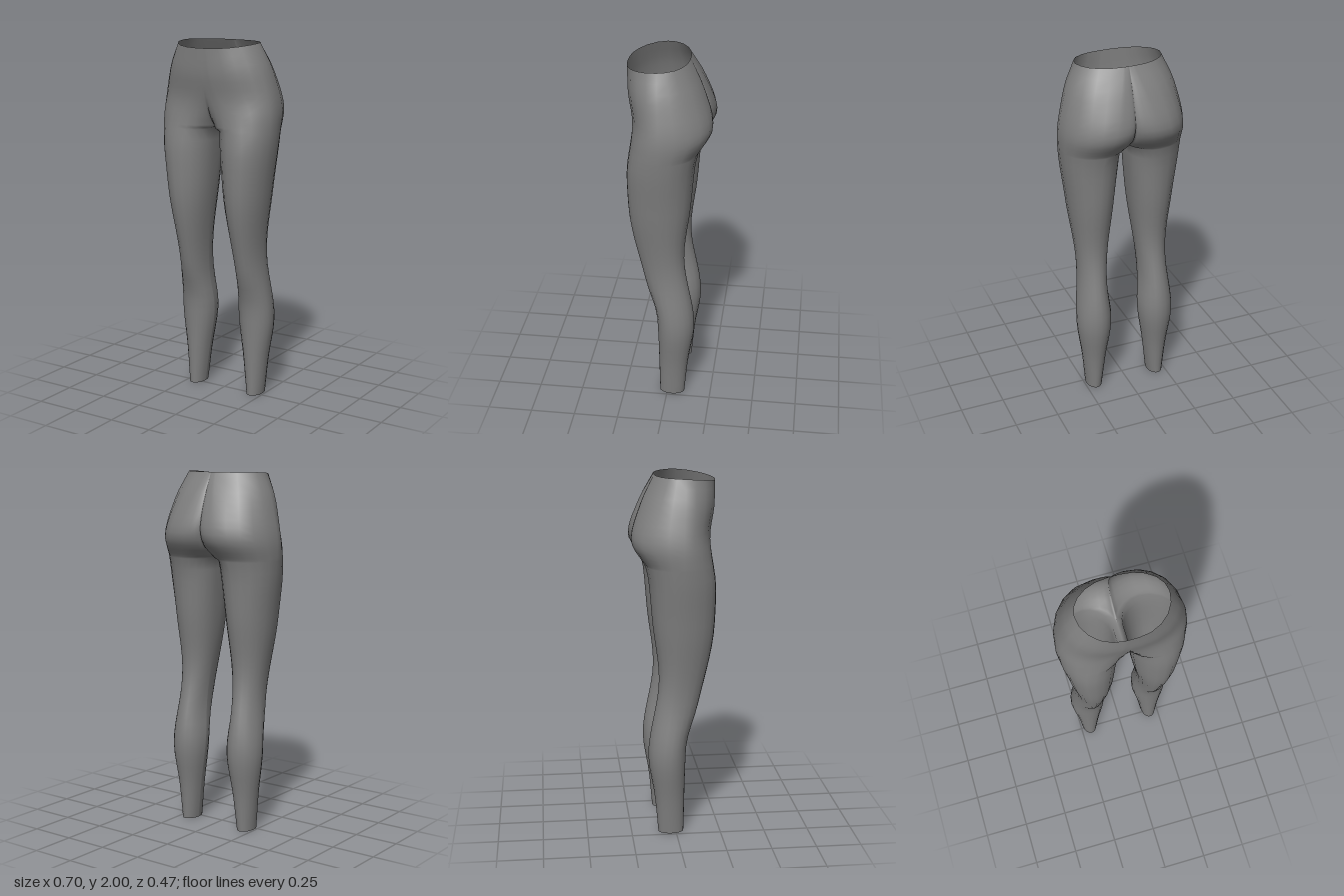
import * as THREE from 'three';
import { mergeVertices } from 'three/addons/utils/BufferGeometryUtils.js';

// Smooth curve through a few (height, value) points, listed from the top down, without overshoot
function profile(...points) {
  const steps = points.slice(1).map(([y, v], i) => (v - points[i][1]) / (y - points[i][0]));
  const slopes = points.map((_, i) => {
    const a = steps[i - 1] ?? steps[i], b = steps[i] ?? a;
    return a * b > 0 ? (2 * a * b) / (a + b) : 0;
  });
  return (y) => {
    let i = 0;
    while (i < points.length - 2 && y < points[i + 1][0]) i++;
    const [y0, v0] = points[i], [y1, v1] = points[i + 1];
    const h = y1 - y0, t = (y - y0) / h, u = 1 - t;
    return v0 * u * u * (1 + 2 * t) + v1 * t * t * (3 - 2 * t)
      + h * t * u * (slopes[i] * u - slopes[i + 1] * t);
  };
}

// Silhouettes of one half
const outerX = profile([2, 0.24], [1.85, 0.304], [1.6, 0.351], [1.2, 0.307], [0.8, 0.264], [0.46, 0.291], [0.2, 0.259], [0, 0.24]);
const frontZ = profile([2, 0.232], [1.85, 0.225], [1.66, 0.194], [1.4, 0.22], [1.2, 0.214], [0.75, 0.127], [0.5, 0.06], [0, 0.044]);
const backZ = profile([2, -0.1], [1.85, -0.178], [1.66, -0.234], [1.5, -0.153], [1.2, -0.124], [0.9, -0.091], [0.46, -0.152], [0.2, -0.116], [0, -0.098]);
const innerX = profile([1.525, 0.028], [1.2, 0.055], [0.68, 0.105], [0.48, 0.09], [0.2, 0.126], [0, 0.15]);
// Depth of the side seam, and how far out the front and back are fullest
const sideZ = profile([2, 0.05], [1.6, 0.03], [1.2, 0.039], [0.7, -0.002], [0.4, -0.038], [0, -0.028]);
const frontX = profile([2, 0.03], [1.75, 0.065], [1.6, 0.16], [1.4, 0.195], [0.9, 0.182], [0, 0.195]);
const backX = profile([2, 0.03], [1.75, 0.105], [1.4, 0.17], [0.9, 0.178], [0, 0.195]);
// Centre line of the hips, front and back, down to the crotch
const CROTCH = 1.537;
const centreFrontZ = profile([2, 0.232], [1.85, 0.225], [1.71, 0.195], [1.6, 0.135], [CROTCH, 0.06]);
const centreBackZ = profile([2, -0.1], [1.78, -0.182], [1.7, -0.196], [1.6, -0.15], [CROTCH, -0.03]);

const HIP_ROWS = 12, LEG_ROWS = 24;
const SEG = 5; // points per quarter of a cross-section
const COLS = SEG * 4 + 1;

// Row heights: hips close up towards the crotch, legs run evenly to the ankle
const HEIGHTS = [];
for (let i = 0; i <= HIP_ROWS; i++) HEIGHTS.push(CROTCH + (2 - CROTCH) * Math.pow(1 - i / HIP_ROWS, 1.4));
for (let i = 0; i <= LEG_ROWS; i++) HEIGHTS.push(1.525 * (1 - i / LEG_ROWS));

// One cross-section: quarter-ellipses for inner front, outer front, outer back, inner back
function section(y, isLeg) {
  const xf = frontX(y), zf = frontZ(y), xs = outerX(y), zs = sideZ(y), xb = backX(y), zb = backZ(y);
  const flat = Math.max(0.04, (y - 0.7) / 0.83); // inner thigh is flattened near the crotch
  const xi = isLeg ? innerX(y) : 0;
  const zif = isLeg ? zs + 0.028 * flat : centreFrontZ(y);
  const zib = isLeg ? zs - 0.052 * flat : centreBackZ(y);
  const points = [];
  for (let col = 0; col < COLS; col++) {
    const quarter = Math.min(3, Math.floor(col / SEG));
    const t = (col / SEG - quarter) * Math.PI / 2;
    const s = Math.sin(t), c = Math.cos(t);
    const [x, z] = [
      [xf - (xf - xi) * c, zif + (zf - zif) * s],
      [xf + (xs - xf) * s, zs + (zf - zs) * c],
      [xb + (xs - xb) * c, zs + (zb - zs) * s],
      [xb - (xb - xi) * s, zib + (zb - zib) * c],
    ][quarter];
    // The waistline dips at the front
    const dip = 0.025 * Math.max(0, (y - 1.8) / 0.2) * Math.pow(Math.max(0, z) / 0.232, 1.7);
    points.push([x, y - dip, z]);
  }
  return points;
}

function leggingsGeometry() {
  const positions = [], index = [];
  for (const side of [1, -1]) {
    const base = positions.length / 3;
    HEIGHTS.forEach((height, i) => {
      for (const [x, y, z] of section(height, i > HIP_ROWS)) positions.push(side * x, y, z);
    });
    for (let i = 0; i < HEIGHTS.length - 1; i++) {
      // Below the crotch each half closes into its own leg
      const spans = i >= HIP_ROWS ? COLS : COLS - 1;
      for (let j = 0; j < spans; j++) {
        const a = base + i * COLS + j, b = base + i * COLS + (j + 1) % COLS;
        const c = a + COLS, d = b + COLS;
        if (side > 0) index.push(a, c, b, b, c, d);
        else index.push(a, b, c, b, d, c);
      }
    }
  }
  const geometry = new THREE.BufferGeometry();
  geometry.setAttribute('position', new THREE.Float32BufferAttribute(positions, 3));
  geometry.setIndex(index);
  // Weld the halves so the shading runs smoothly across the middle
  const welded = mergeVertices(geometry, 1e-4);
  welded.computeVertexNormals();
  return welded;
}

export function createModel() {
  const group = new THREE.Group();
  group.name = 'leggings';
  const fabric = new THREE.MeshStandardMaterial({ color: 0x808080, side: THREE.DoubleSide });
  fabric.name = 'grey fabric';
  const shell = new THREE.Mesh(leggingsGeometry(), fabric);
  shell.name = 'fabricShell';
  group.add(shell);
  return group;
}
